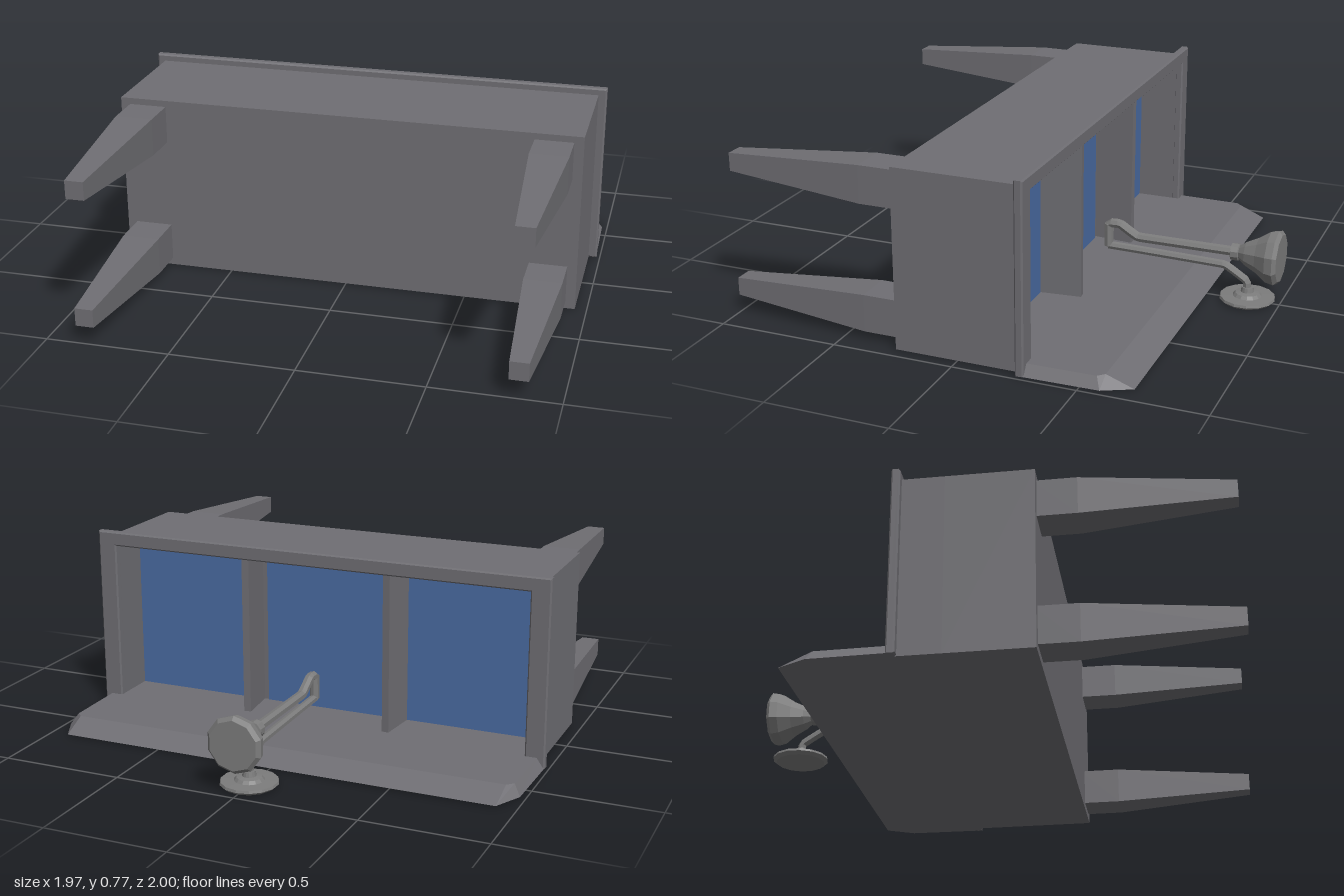
import * as THREE from 'three';

const paint = (color) => new THREE.MeshStandardMaterial({ color, flatShading: true });
const darkGrey = paint(0x6f6e73);
const metal = paint(0x7c7c7c);
const blue = paint(0x4a6ba2);

function add(parent, name, geometry, material = darkGrey) {
  const mesh = new THREE.Mesh(geometry, material);
  mesh.name = name;
  parent.add(mesh);
  return mesh;
}

// Box given by its minimum and maximum corners
function box(parent, name, min, max, material) {
  const size = max.map((v, i) => v - min[i]);
  const mesh = add(parent, name, new THREE.BoxGeometry(...size), material);
  mesh.position.set(...max.map((v, i) => (v + min[i]) / 2));
  return mesh;
}

// Rectangular frame in the xy plane around the shared opening
function frame(parent, name, x, y0, y1, z0, z1, bevel) {
  const rect = (T, w, a, b) => {
    const p = new T();
    p.moveTo(-w, a).lineTo(w, a).lineTo(w, b).lineTo(-w, b).closePath();
    return p;
  };
  const shape = rect(THREE.Shape, x - bevel, y0 + bevel, y1 - bevel);
  shape.holes.push(rect(THREE.Path, 0.905 + bevel, 0.047 - bevel, 0.71 + bevel));
  const geometry = new THREE.ExtrudeGeometry(shape, {
    depth: z1 - z0 - 2 * bevel, bevelEnabled: bevel > 0,
    bevelSize: bevel, bevelThickness: bevel, bevelSegments: 1,
  });
  add(parent, name, geometry).position.z = z0 + bevel;
}

// Surface lofted through loops of equal length, closed at both ends
function loft(loops) {
  const n = loops[0].length;
  const index = [];
  for (let k = 0; k < loops.length - 1; k++) {
    for (let i = 0; i < n; i++) {
      const a = k * n + i, b = k * n + (i + 1) % n;
      index.push(a, b, b + n, a, b + n, a + n);
    }
  }
  const top = (loops.length - 1) * n;
  for (let i = 1; i < n - 1; i++) {
    index.push(0, i + 1, i, top, top + i, top + i + 1);
  }
  const geometry = new THREE.BufferGeometry();
  geometry.setAttribute('position', new THREE.Float32BufferAttribute(loops.flat(2), 3));
  geometry.setIndex(index);
  const flat = geometry.toNonIndexed();
  flat.computeVertexNormals();
  return flat;
}

// Pipe bent through points given as [y, z]
function pipe(parent, name, points, radius) {
  const path = new THREE.CatmullRomCurve3(
    points.map(([y, z]) => new THREE.Vector3(0, y, z)), false, 'catmullrom', 0.05);
  add(parent, name, new THREE.TubeGeometry(path, 48, radius, 7), metal);
}

function lathe(parent, name, profile, sides) {
  return add(parent, name, new THREE.LatheGeometry(
    profile.map(([r, h]) => new THREE.Vector2(r, h)), sides), metal);
}

export function createModel() {
  const model = new THREE.Group();
  model.name = 'troughSink';

  // Tub: solid base, hollow walls and rim
  const tub = new THREE.Group();
  tub.name = 'tub';
  model.add(tub);
  box(tub, 'base', [-0.953, 0.004, -0.085], [0.953, 0.742, 0.256]);
  frame(tub, 'walls', 0.953, 0.004, 0.742, -0.255, -0.085, 0);
  frame(tub, 'rim', 0.987, 0.004, 0.77, -0.285, -0.25, 0.006);

  // Two dividers, leaning slightly outward with depth
  for (const side of [-1, 1]) {
    const divider = box(tub, 'divider', [-0.015, 0.04, -0.258], [0.015, 0.715, -0.075]);
    divider.position.x = side * 0.32;
    divider.rotation.y = side * 0.1;
  }

  // Water in the three basins
  for (const x of [-0.617, 0, 0.617]) {
    box(model, 'water', [x - 0.292, 0.04, -0.09], [x + 0.292, 0.712, -0.08], blue);
  }

  // Backboard with cut corners and a sloping edge
  const outline = (a, b, c, y, z1, z2) => [
    [c, y, z2], [b, y, z1], [a, y, -0.255], [-a, y, -0.255], [-b, y, z1], [-c, y, z2],
  ].reverse();
  const lower = outline(0.985, 0.978, 0.92, 0.004, -0.58, -0.695).reverse();
  const upper = outline(0.955, 0.95, 0.925, 0.047, -0.56, -0.585).reverse();
  add(model, 'backboard', loft([lower.reverse(), upper.reverse()]));

  // Four tapered legs
  for (const x of [-0.837, 0.837]) {
    for (const y of [0.111, 0.639]) {
      const square = (h, z) => [[-h, -h, z], [h, -h, z], [h, h, z], [-h, h, z]];
      const leg = add(model, 'leg', loft([square(0.077, 0.24), square(0.077, 0.41), square(0.037, 1)]));
      leg.position.set(x, y, 0);
    }
  }

  // Faucet: joined pipes, a flared head and a round lower plate
  const faucet = new THREE.Group();
  faucet.name = 'faucet';
  model.add(faucet);
  pipe(faucet, 'upperPipe', [[0.15, -0.26], [0.25, -0.26], [0.253, -0.31], [0.206, -0.39], [0.206, -0.82]], 0.02);
  pipe(faucet, 'lowerPipe', [[0.152, -0.26], [0.15, -0.4], [0.142, -0.765], [0.084, -0.86], [0.02, -0.865]], 0.017);

  const head = lathe(faucet, 'flaredHead', [
    [0, 0], [0.036, 0], [0.036, 0.03], [0.03, 0.033], [0.05, 0.06],
    [0.075, 0.11], [0.108, 0.158], [0.115, 0.19], [0.1, 0.205], [0, 0.205],
  ], 10);
  head.rotation.x = -Math.PI / 2;
  head.position.set(0, 0.205, -0.793);

  const plate = lathe(faucet, 'lowerPlate', [
    [0, 0], [0.1, 0], [0.115, 0.012], [0.112, 0.022], [0.06, 0.024],
    [0.05, 0.036], [0.028, 0.04], [0.024, 0.06], [0, 0.06],
  ], 14);
  plate.position.set(0, 0, -0.865);

  return model;
}
